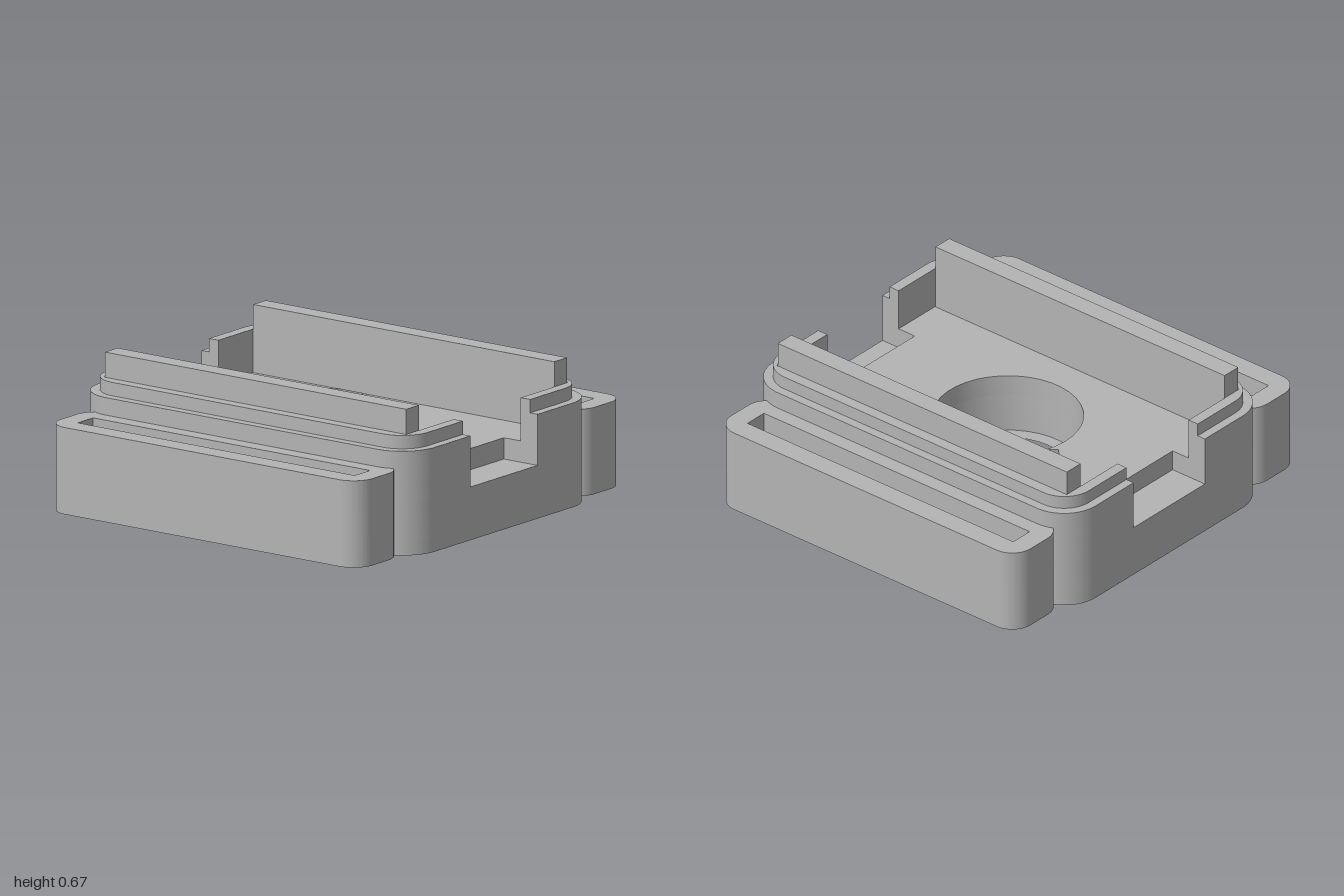
import * as THREE from 'three';
import { toCreasedNormals } from 'three/addons/utils/BufferGeometryUtils.js';

const grey = new THREE.MeshStandardMaterial({ color: 0xb4b4b4 });
grey.name = 'grey plastic';

// Plan shapes are drawn in (x, -z) and extruded upward from y0 to y1.
function slab(name, shape, y0, y1) {
  let geo = new THREE.ExtrudeGeometry(shape, { depth: y1 - y0, bevelEnabled: false, curveSegments: 16 });
  geo.rotateX(-Math.PI / 2).translate(0, y0, 0);
  geo = toCreasedNormals(geo, 0.5);
  const mesh = new THREE.Mesh(geo, grey);
  mesh.name = name;
  return mesh;
}

function roundedRect(x0, x1, hz, r) {
  const s = new THREE.Shape();
  s.absarc(x1 - r, hz - r, r, Math.PI / 2, 0, true);
  s.absarc(x1 - r, -hz + r, r, 0, -Math.PI / 2, true);
  s.absarc(x0 + r, -hz + r, r, -Math.PI / 2, -Math.PI, true);
  s.absarc(x0 + r, hz - r, r, Math.PI, Math.PI / 2, true);
  s.closePath();
  return s;
}

const HX = 0.705, HZ = 0.965, R = 0.19, NOTCH = 0.25, NOTCH_Z = 0.772;

// Body outline with a rectangular bite at the front and back
function notchedBody() {
  const s = new THREE.Shape();
  s.moveTo(NOTCH, NOTCH_Z);
  s.lineTo(NOTCH, HZ);
  s.absarc(HX - R, HZ - R, R, Math.PI / 2, 0, true);
  s.absarc(HX - R, -HZ + R, R, 0, -Math.PI / 2, true);
  s.lineTo(NOTCH, -HZ);
  s.lineTo(NOTCH, -NOTCH_Z);
  s.lineTo(-NOTCH, -NOTCH_Z);
  s.lineTo(-NOTCH, -HZ);
  s.absarc(-HX + R, -HZ + R, R, -Math.PI / 2, -Math.PI, true);
  s.absarc(-HX + R, HZ - R, R, Math.PI, Math.PI / 2, true);
  s.lineTo(-NOTCH, HZ);
  s.lineTo(-NOTCH, NOTCH_Z);
  s.closePath();
  return s;
}

// C-shaped wall on one side of the tray
function sideWall(hx, hz, r) {
  const ix = 0.605, iz = 0.868;
  const s = new THREE.Shape();
  s.moveTo(NOTCH, iz);
  s.lineTo(NOTCH, hz);
  s.absarc(hx - r, hz - r, r, Math.PI / 2, 0, true);
  s.absarc(hx - r, -hz + r, r, 0, -Math.PI / 2, true);
  s.lineTo(NOTCH, -hz);
  s.lineTo(NOTCH, -iz);
  s.lineTo(ix, -iz);
  s.lineTo(ix, iz);
  s.closePath();
  return s;
}

// Counterbore joined to a rectangular pocket lying at 45 degrees
function pocketHole() {
  const r = 0.345, u0 = 0.314, u1 = 0.64, w = 0.205;
  const half = Math.acos(u0 / r), v0 = r * Math.sin(half), a = Math.PI / 4;
  const p = new THREE.Path();
  p.absarc(0, 0, r, a + half, a - half + Math.PI * 2, false);
  for (const [u, v] of [[u0, -w], [u1, -w], [u1, w], [u0, w], [u0, v0]]) {
    p.lineTo((u - v) * Math.SQRT1_2, (u + v) * Math.SQRT1_2);
  }
  return p;
}

export function createModel() {
  const model = new THREE.Group();
  model.name = 'strapMount';

  // Solid lower body in three layers
  const bottom = roundedRect(-HX, HX, HZ, R);
  bottom.holes.push(new THREE.Path().absarc(0, 0, 0.28, 0, Math.PI * 2, true));
  model.add(slab('bottomFlange', bottom, 0, 0.06));

  const lower = roundedRect(-HX, HX, HZ, R);
  lower.holes.push(pocketHole());
  model.add(slab('lowerBody', lower, 0.06, 0.25));

  const floor = notchedBody();
  floor.holes.push(pocketHole());
  model.add(slab('trayFloor', floor, 0.25, 0.35));

  // Everything on one side, repeated by a half turn
  for (const side of ['left', 'right']) {
    const half = new THREE.Group();
    half.name = side + 'Side';

    half.add(slab('trayWall', sideWall(HX, HZ, R), 0.35, 0.49));
    half.add(slab('trayLip', sideWall(0.66, 0.922, 0.147), 0.49, 0.553));

    const rail = new THREE.Mesh(new THREE.BoxGeometry(0.096, 0.32, 1.73), grey);
    rail.position.set(0.553, 0.51, 0);
    rail.name = 'rail';
    half.add(rail);

    const loop = roundedRect(0.66, 1, 0.895, 0.11);
    loop.holes.push(new THREE.Path([
      new THREE.Vector2(0.78, -0.795), new THREE.Vector2(0.895, -0.795),
      new THREE.Vector2(0.895, 0.795), new THREE.Vector2(0.78, 0.795),
      new THREE.Vector2(0.78, -0.795),
    ]));
    half.add(slab('strapLoop', loop, 0, 0.408));

    if (side === 'right') half.rotation.y = Math.PI;
    model.add(half);
  }
  return model;
}
